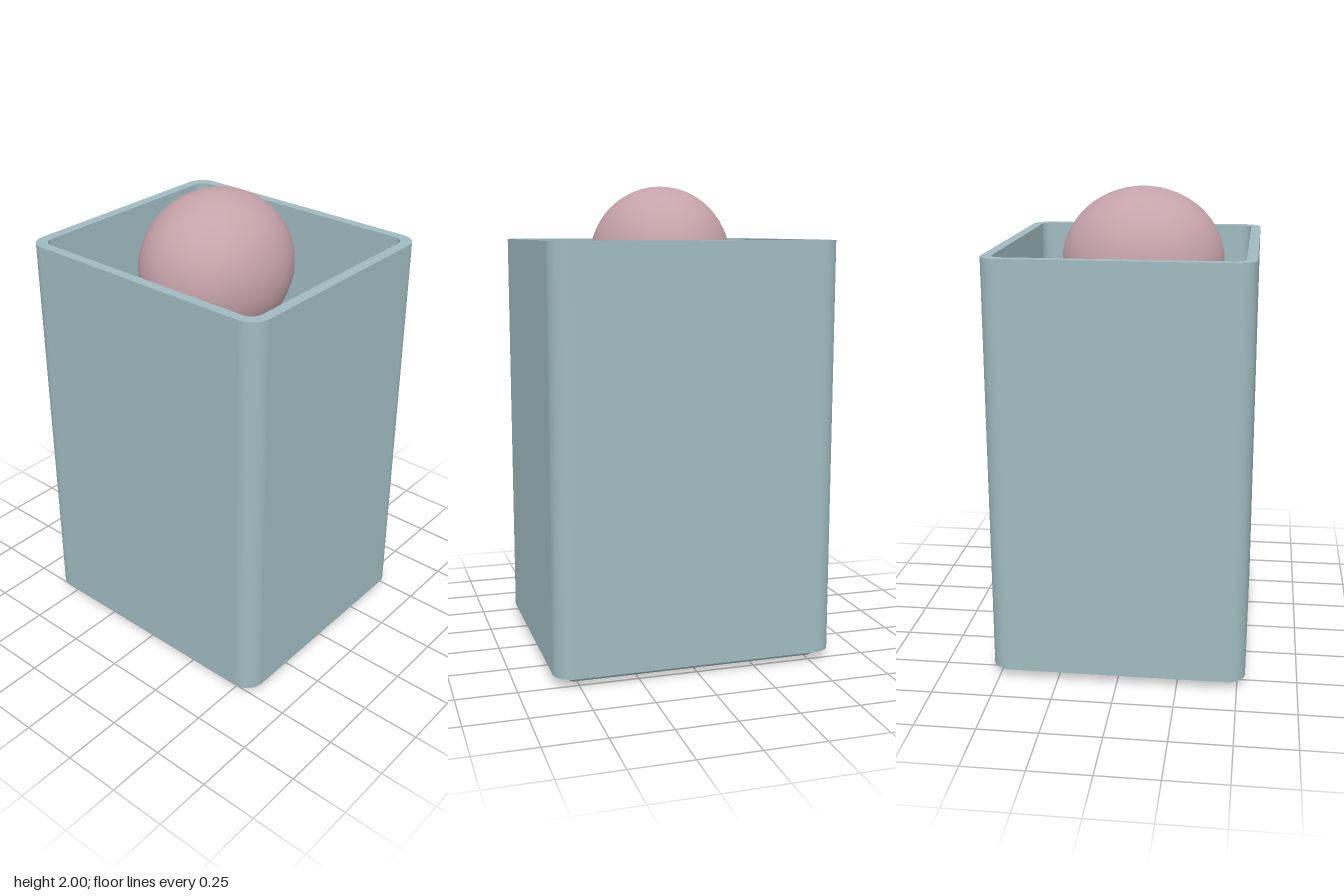
import * as THREE from 'three';
import { RoundedBoxGeometry } from 'three/addons/geometries/RoundedBoxGeometry.js';

// Rounded rectangle outline, half sizes hx and hy, corner radius r
function roundedRect(path, hx, hy, r) {
  path.moveTo(hx, -hy + r);
  path.lineTo(hx, hy - r);
  path.absarc(hx - r, hy - r, r, 0, Math.PI / 2);
  path.lineTo(-hx + r, hy);
  path.absarc(-hx + r, hy - r, r, Math.PI / 2, Math.PI);
  path.lineTo(-hx, -hy + r);
  path.absarc(-hx + r, -hy + r, r, Math.PI, Math.PI * 1.5);
  path.lineTo(hx - r, -hy);
  path.absarc(hx - r, -hy + r, r, Math.PI * 1.5, Math.PI * 2);
  return path;
}

// Smooth the upright walls of an extrusion around its rounded corners
function smoothWalls(geometry, hx, hy, r, ihx, ihy, ir) {
  const p = geometry.attributes.position, n = geometry.attributes.normal;
  for (let i = 0; i < p.count; i++) {
    if (Math.abs(n.getZ(i)) > 0.5) continue;
    const x = p.getX(i), y = p.getY(i);
    const inside = x * n.getX(i) + y * n.getY(i) < 0;
    const cx = inside ? ihx - ir : hx - r, cy = inside ? ihy - ir : hy - r;
    const dx = Math.sign(x) * Math.max(Math.abs(x) - cx, 0);
    const dy = Math.sign(y) * Math.max(Math.abs(y) - cy, 0);
    const l = (Math.hypot(dx, dy) || 1) * (inside ? -1 : 1);
    n.setXYZ(i, dx / l, dy / l, 0);
  }
  return geometry;
}

export function createModel() {
  const group = new THREE.Group();
  const teal = new THREE.MeshStandardMaterial({ color: 0x9fbabf });
  teal.name = 'dusty teal';
  const pink = new THREE.MeshStandardMaterial({ color: 0xc6a3aa });
  pink.name = 'dusty pink';

  const add = (name, geometry, material, x, y, z) => {
    const mesh = new THREE.Mesh(geometry, material);
    mesh.name = name;
    mesh.position.set(x, y, z);
    group.add(mesh);
    return mesh;
  };

  // Open tube of four walls with rounded corners
  const outline = roundedRect(new THREE.Shape(), 0.533, 0.6, 0.08);
  outline.holes.push(roundedRect(new THREE.Path(), 0.491, 0.555, 0.05));
  const walls = new THREE.ExtrudeGeometry(outline, { depth: 1.735, bevelEnabled: false, curveSegments: 8 });
  smoothWalls(walls, 0.533, 0.6, 0.08, 0.491, 0.555, 0.05);
  walls.rotateX(-Math.PI / 2);
  add('walls', walls, teal, 0, 0.04, 0);

  // Floor slab with soft edges, showing slightly below the walls
  add('floor', new RoundedBoxGeometry(0.98, 0.09, 1.108, 4, 0.044), teal, 0, 0.045, 0);

  // Flattened ball peeking over the rim
  const ball = add('ball', new THREE.SphereGeometry(1, 40, 28), pink, -0.045, 1.688, 0);
  ball.scale.set(0.345, 0.312, 0.303);

  return group;
}
